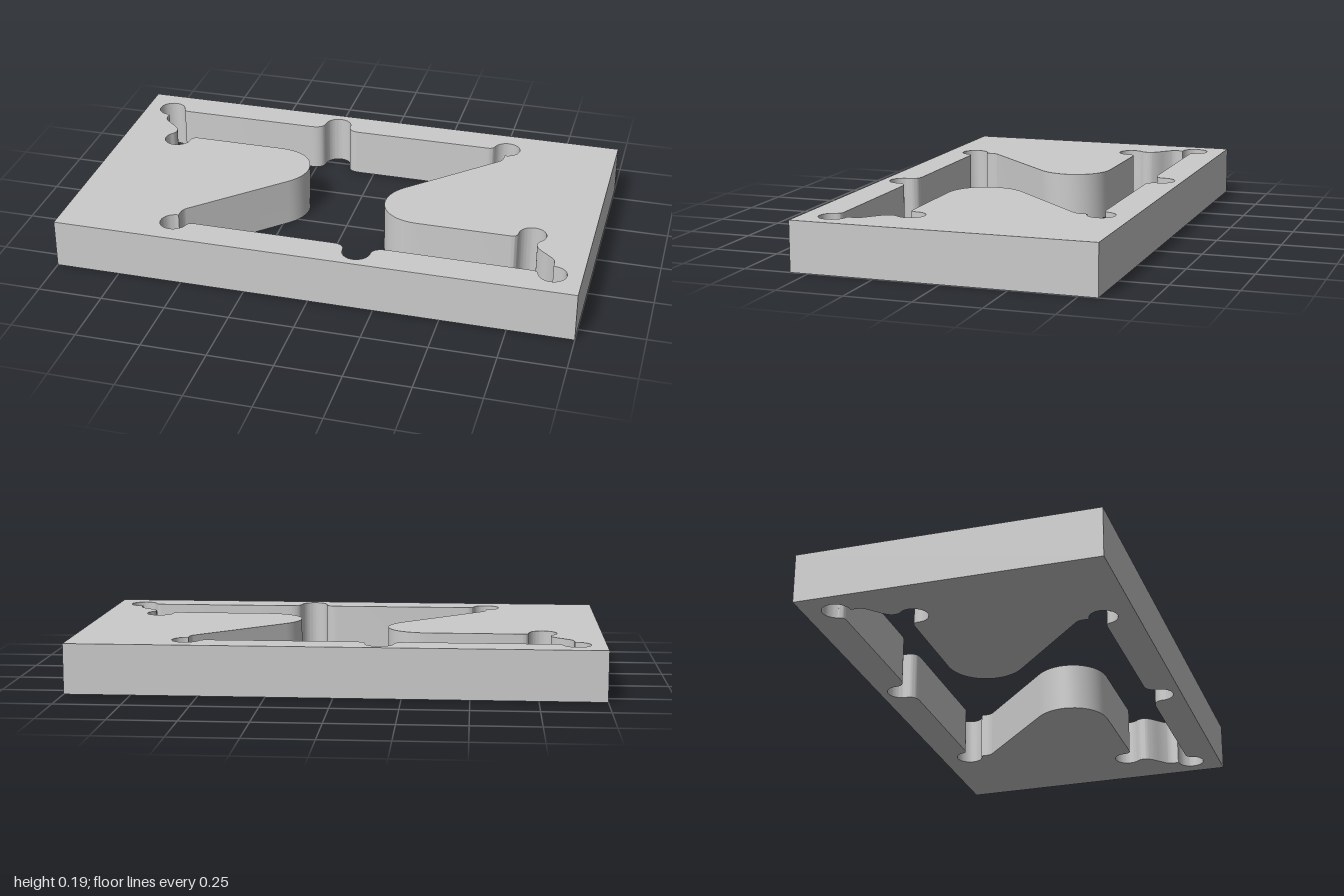
import * as THREE from 'three';
import { toCreasedNormals } from 'three/addons/utils/BufferGeometryUtils.js';

const HEIGHT = 0.19, HALF_X = 1, HALF_Z = 0.57, R = 0.053;

// Half of the cutout outline in plan (x, z); the other half is it turned by 180 degrees
function halfCutout() {
  const p = new THREE.Path();
  const PI = Math.PI;
  p.moveTo(-0.839, -0.464);
  p.quadraticCurveTo(-0.835, -0.443, -0.815, -0.443);
  // back edge with its round notch
  p.lineTo(-0.275, -0.443);
  p.quadraticCurveTo(-0.218, -0.443, -0.218, -0.485);
  p.absarc(-0.165, -0.485, R, PI, 2 * PI, false);
  p.quadraticCurveTo(-0.112, -0.443, -0.065, -0.443);
  p.lineTo(0.48, -0.443);
  p.quadraticCurveTo(0.505, -0.443, 0.509, -0.464);
  // corner relief, then the slanted side of the tongue
  p.absarc(0.56, -0.45, R, PI + 0.27, 2.5 * PI, false);
  p.lineTo(0.56, -0.37);
  p.quadraticCurveTo(0.558, -0.352, 0.545, -0.34);
  p.lineTo(0.23, -0.035);
  // rounded tongue tip
  p.bezierCurveTo(0.13, 0.06, 0.18, 0.225, 0.335, 0.225);
  p.lineTo(0.695, 0.225);
  p.quadraticCurveTo(0.722, 0.225, 0.722, 0.197);
  // relief at the tongue root
  p.absarc(0.775, 0.197, R, PI, 2 * PI + 0.8, false);
  p.quadraticCurveTo(0.798, 0.25, 0.805, 0.275);
  p.quadraticCurveTo(0.815, 0.295, 0.845, 0.318);
  p.lineTo(0.875, 0.345);
  p.quadraticCurveTo(0.888, 0.36, 0.885, 0.395);
  // corner relief
  p.absarc(0.89, 0.45, R, -0.5 * PI, PI - 0.27, false);
  return p.getPoints(16);
}

export function createModel() {
  const group = new THREE.Group();
  group.name = 'cutoutPlate';

  const outline = new THREE.Shape([
    new THREE.Vector2(-HALF_X, -HALF_Z), new THREE.Vector2(HALF_X, -HALF_Z),
    new THREE.Vector2(HALF_X, HALF_Z), new THREE.Vector2(-HALF_X, HALF_Z),
  ]);
  const half = halfCutout();
  const turned = half.map((v) => new THREE.Vector2(-v.x, -v.y));
  outline.holes.push(new THREE.Path([...half, ...turned]));

  // Extrude, then lay flat with the underside on the ground
  const solid = new THREE.ExtrudeGeometry(outline, { depth: HEIGHT, bevelEnabled: false });
  solid.rotateX(Math.PI / 2).translate(0, HEIGHT, 0);

  const plate = new THREE.Mesh(
    toCreasedNormals(solid, 0.6),
    new THREE.MeshStandardMaterial({ color: 0xcccccc }),
  );
  plate.name = 'plate';
  group.add(plate);
  return group;
}
